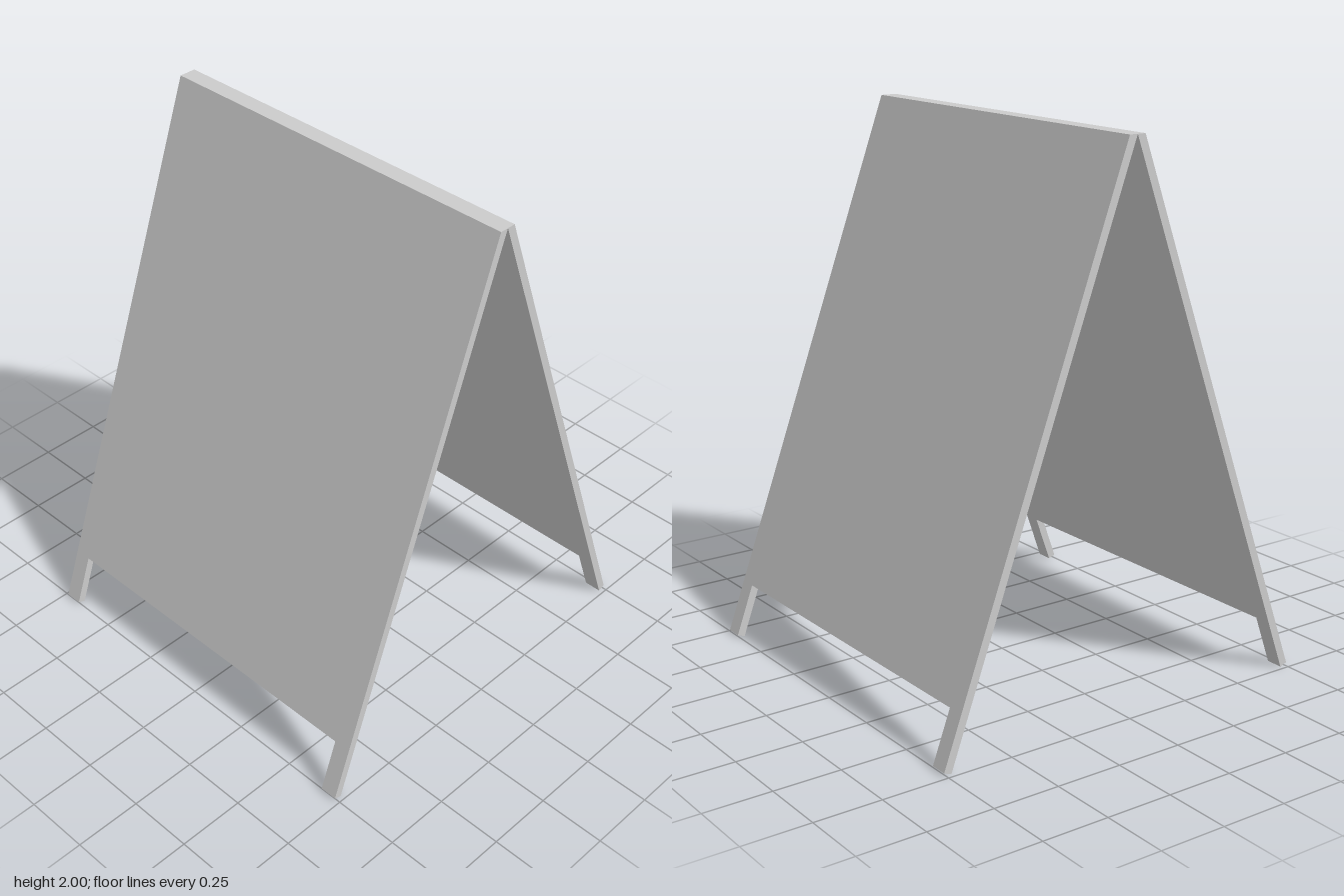
import * as THREE from 'three';

const TOP = 2;                      // ridge height
const TILT = THREE.MathUtils.degToRad(20);
const THICK = 0.03;                 // board thickness
const RIDGE = THICK / Math.cos(TILT); // half width of the flat ridge
const HALF = 0.733;                 // half width of a board
const LEG = 0.668;                  // inner side of a leg
const FOOT = THICK * Math.sin(TILT); // height of the outer foot edge
const CUT = 0.197;                  // underside of the board between the legs

// Leaning board with two short legs: the outline is extruded, then tilted
function boardGeometry() {
  const outline = new THREE.Shape([
    [-HALF, FOOT], [-LEG, FOOT], [-LEG, CUT], [LEG, CUT],
    [LEG, FOOT], [HALF, FOOT], [HALF, TOP], [-HALF, TOP],
  ].map(([x, y]) => new THREE.Vector2(x, y)));
  const geometry = new THREE.ExtrudeGeometry(outline, { depth: THICK, bevelEnabled: false });
  const pos = geometry.attributes.position;
  for (let i = 0; i < pos.count; i++) {
    const inner = pos.getZ(i) < THICK / 2;
    let y = pos.getY(i);
    let z = RIDGE + (TOP - y) * Math.tan(TILT);
    if (inner && y > TOP - 0.001) {
      z = 0; // top is cut level so both boards meet at the ridge
    } else if (inner) {
      y -= THICK * Math.sin(TILT); // lower edges are square to the board
      z -= THICK * Math.cos(TILT);
    }
    pos.setXYZ(i, pos.getX(i), y, z);
  }
  geometry.computeVertexNormals();
  return geometry;
}

export function createModel() {
  const group = new THREE.Group();
  group.name = 'sandwichBoard';
  const material = new THREE.MeshStandardMaterial({ color: 0xcccccc, flatShading: true });
  const geometry = boardGeometry();

  // Front board and its mirrored partner
  ['frontBoard', 'backBoard'].forEach((name, i) => {
    const board = new THREE.Mesh(geometry, material);
    board.name = name;
    board.rotation.y = i * Math.PI;
    group.add(board);
  });
  return group;
}
